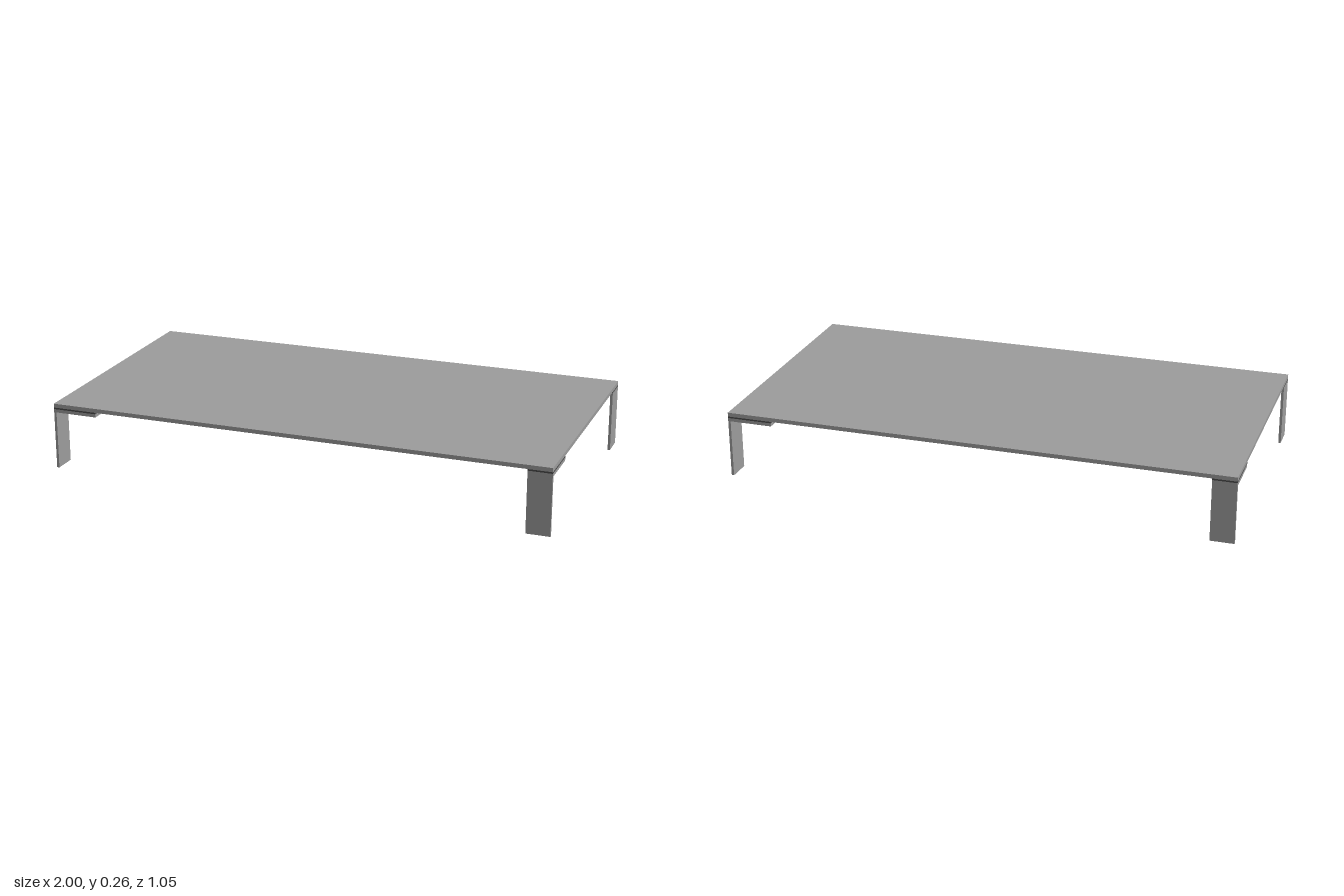
import * as THREE from 'three';

const HALF_X = 1, HALF_Z = 0.525;      // table top half sizes
const LEG_W = 0.093, FLANGE = 0.18;    // leg width and flange length
const LEG_T = 0.01, FLANGE_T = 0.013;  // plate thicknesses
const LEG_H = 0.243, PAD_H = 0.006, TOP_T = 0.016;

export function createModel() {
  const model = new THREE.Group();
  model.name = 'lowTable';
  const grey = new THREE.MeshStandardMaterial({ color: 0x9c9c9c });
  const dark = new THREE.MeshStandardMaterial({ color: 0x4a4a4a });

  const add = (parent, name, geometry, material, x, y, z) => {
    const mesh = new THREE.Mesh(geometry, material);
    mesh.name = name;
    mesh.position.set(x, y, z);
    parent.add(mesh);
  };

  // flat table top
  add(model, 'tableTop', new THREE.BoxGeometry(2 * HALF_X, TOP_T, 2 * HALF_Z), grey,
    0, LEG_H + PAD_H + TOP_T / 2, 0);

  // bent plate leg: vertical blade with a flange running inward (+x) at its top
  const profile = new THREE.Shape([
    [0, 0], [LEG_T, 0], [LEG_T, LEG_H - FLANGE_T],
    [FLANGE, LEG_H - FLANGE_T], [FLANGE, LEG_H], [0, LEG_H],
  ].map(([x, y]) => new THREE.Vector2(x, y)));
  const legGeometry = new THREE.ExtrudeGeometry(profile, { depth: LEG_W, bevelEnabled: false });
  const padGeometry = new THREE.BoxGeometry(FLANGE, PAD_H, LEG_W);

  const makeLeg = (name, x, z, turn) => {
    const leg = new THREE.Group();
    leg.name = name;
    add(leg, 'bentPlate', legGeometry, grey, 0, 0, 0);
    add(leg, 'mountingPad', padGeometry, dark, FLANGE / 2, LEG_H + PAD_H / 2, LEG_W / 2);
    leg.position.set(x, 0, z);
    leg.rotation.y = turn;
    model.add(leg);
  };

  // blades alternate direction around the corners (half-turn symmetry)
  for (const [s, turn, ends] of [[1, 0, ['frontRight', 'frontLeft']], [-1, Math.PI, ['backLeft', 'backRight']]]) {
    makeLeg(ends[0] + 'Leg', -s * HALF_X, s * (HALF_Z - LEG_W), turn);
    makeLeg(ends[1] + 'Leg', s * (HALF_X - LEG_W), s * HALF_Z, turn + Math.PI / 2);
  }
  return model;
}
